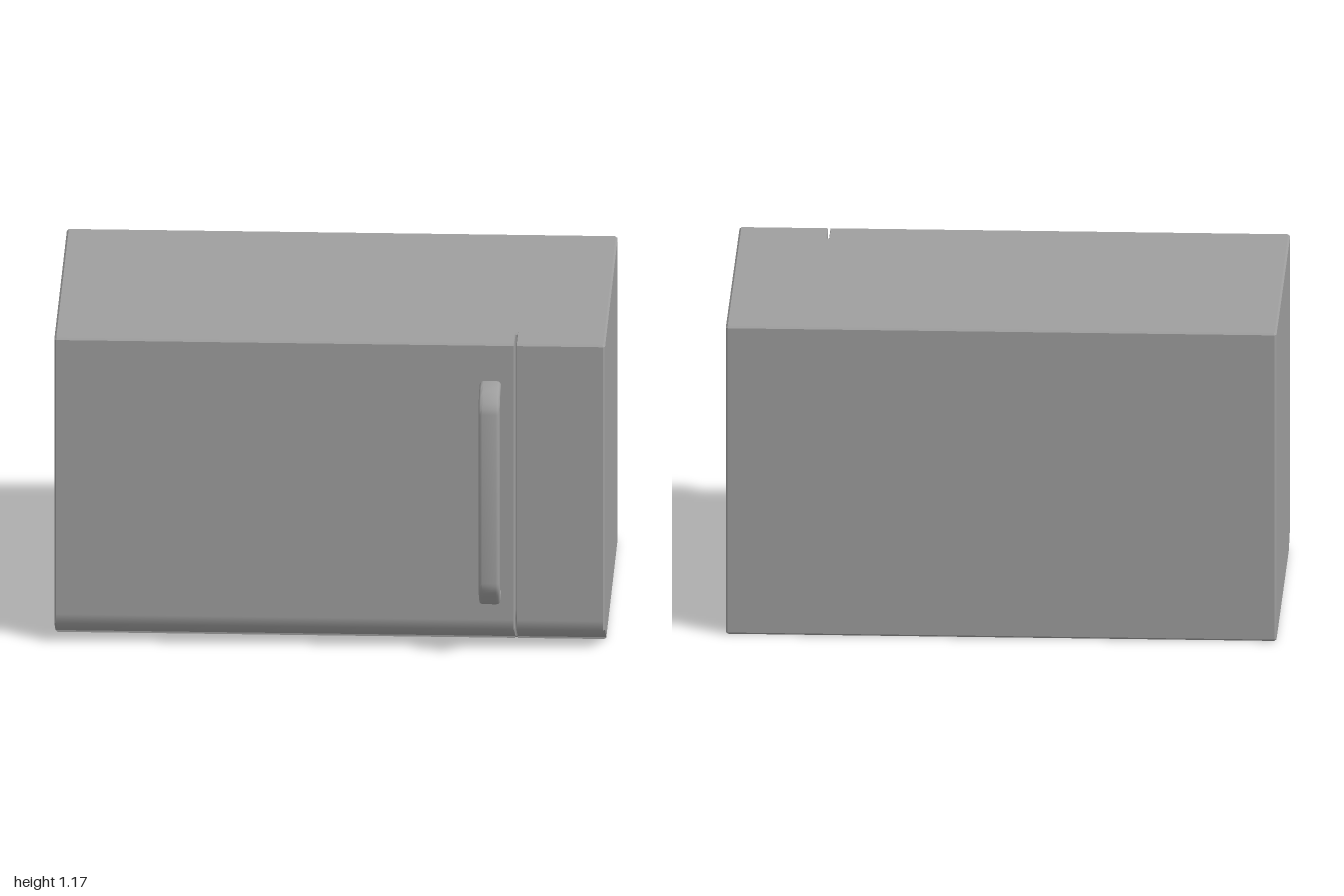
import * as THREE from 'three';
import { toCreasedNormals } from 'three/addons/utils/BufferGeometryUtils.js';

const material = new THREE.MeshStandardMaterial({ color: 0x9e9e9e });
const HEIGHT = 1.174, BACK = -0.66, FRONT = 0.52, BEVEL = 0.007;
const SLOT_X = 0.674, SLOT_END = 0.4, CHAMFER_TOP = 0.075;

// Cabinet: the floor plan with the door slot, raised, with the lower front edge cut back
function cabinetGeometry() {
  const b = BEVEL;
  const plan = [
    [-1, BACK + b], [-1, FRONT - b], [-1 + b, FRONT],
    [SLOT_X - 0.007, FRONT], [SLOT_X - 0.004, FRONT - b], [SLOT_X - 0.004, SLOT_END],
    [SLOT_X + 0.004, SLOT_END], [SLOT_X + 0.004, FRONT - b], [SLOT_X + 0.007, FRONT],
    [1 - b, FRONT], [1, FRONT - b], [1, BACK + b], [1 - b, BACK], [-1 + b, BACK],
  ];
  const shape = new THREE.Shape(plan.map(([x, z]) => new THREE.Vector2(x, -z)));
  const geometry = new THREE.ExtrudeGeometry(shape, {
    depth: HEIGHT - 2 * b, steps: 3, bevelEnabled: true,
    bevelSize: b, bevelThickness: b, bevelOffset: -b, bevelSegments: 1,
  });
  geometry.rotateX(-Math.PI / 2).translate(0, b, 0);

  const p = geometry.attributes.position;
  for (let i = 0; i < p.count; i++) {
    const y = p.getY(i), z = p.getZ(i), dx = p.getX(i) - SLOT_X;
    // The slot stays narrow where the bevel would widen it
    if (Math.abs(dx) < 0.03) p.setX(i, SLOT_X + Math.sign(dx) * Math.min(Math.abs(dx), 0.006));
    // The lowest rings pull back, the middle rings drop to the chamfer and just above it
    if (y < 0.05) {
      if (z > SLOT_END) p.setZ(i, SLOT_END + (z - SLOT_END) * 0.02);
    } else if (y < HEIGHT - 0.05) {
      p.setY(i, y < HEIGHT / 2 ? CHAMFER_TOP : CHAMFER_TOP + 0.035);
    }
  }
  geometry.computeVertexNormals();

  // Soft shading where the front turns into the chamfer
  const n = geometry.attributes.normal;
  for (let i = 0; i < p.count; i++) {
    const onRing = Math.abs(p.getY(i) - CHAMFER_TOP) < 0.001;
    if (onRing && n.getZ(i) > 0.2 && Math.abs(n.getX(i)) < 0.3) n.setXYZ(i, 0, -0.5, 0.866);
  }
  return geometry;
}

// Handle: a bent flat bar, outlined from the side and extruded across x
function handleGeometry() {
  const s = new THREE.Shape();
  s.moveTo(0.5, 1.031);
  s.lineTo(0.55, 1.031);
  s.bezierCurveTo(0.6, 1.031, 0.66, 0.985, 0.66, 0.95);
  s.lineTo(0.66, 0.3);
  s.quadraticCurveTo(0.66, 0.27, 0.637, 0.244);
  s.lineTo(0.605, 0.208);
  s.quadraticCurveTo(0.582, 0.187, 0.55, 0.187);
  s.lineTo(0.5, 0.187);
  s.lineTo(0.5, 0.233);
  s.lineTo(0.548, 0.233);
  s.quadraticCurveTo(0.565, 0.233, 0.577, 0.245);
  s.lineTo(0.606, 0.275);
  s.quadraticCurveTo(0.618, 0.287, 0.618, 0.305);
  s.lineTo(0.618, 0.945);
  s.bezierCurveTo(0.618, 0.967, 0.585, 0.983, 0.55, 0.983);
  s.lineTo(0.5, 0.983);
  const r = 0.014, width = 0.077;
  const geometry = new THREE.ExtrudeGeometry(s, {
    depth: width - 2 * r, bevelEnabled: true, bevelSize: r, bevelThickness: r,
    bevelOffset: -r, bevelSegments: 3, curveSegments: 6,
  });
  geometry.rotateY(-Math.PI / 2).translate(0.622 - r, 0, 0);
  return toCreasedNormals(geometry, 0.7);
}

export function createModel() {
  const group = new THREE.Group();
  const add = (name, geometry) => {
    const mesh = new THREE.Mesh(geometry, material);
    mesh.name = name;
    group.add(mesh);
  };
  add('cabinet', cabinetGeometry());
  add('doorHandle', handleGeometry());
  return group;
}
